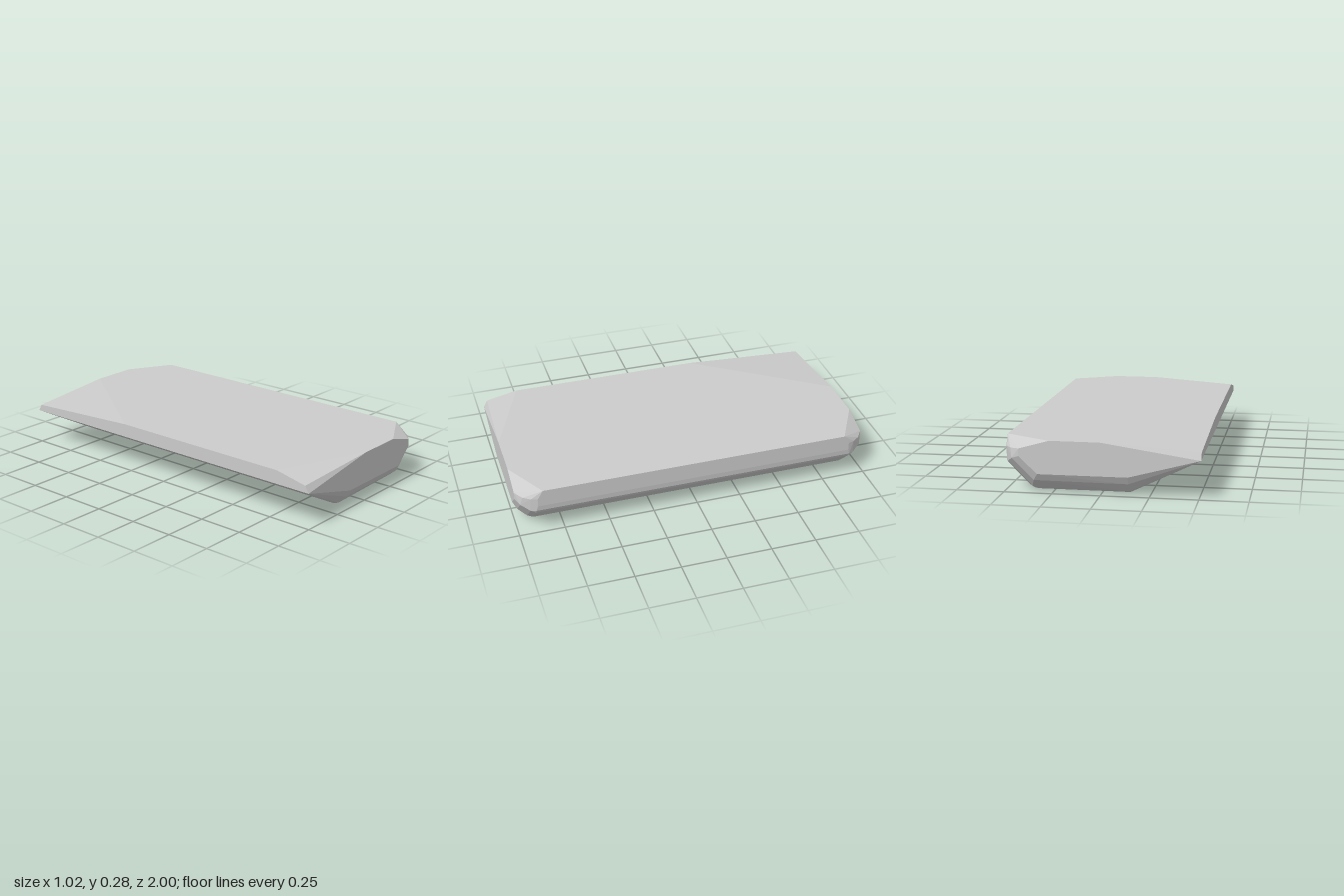
import * as THREE from 'three';
import { ConvexGeometry } from 'three/addons/geometries/ConvexGeometry.js';

const TOP = 0.275;

// Corner points of one end, [x, y, distance from the middle]
const endPoints = [
  // flat end face
  [0, TOP, 1], [0.26, TOP, 1], [0.42, 0.23, 1], [0.42, 0.19, 1],
  [0.325, 0.1, 1], [-0.14, 0.1, 1], [-0.51, 0.2, 1],
  // first bevel ring
  [-0.14, 0.06, 0.978], [0.347, 0.063, 0.978], [0.462, 0.175, 0.978], [0.47, 0.225, 0.965],
  // second bevel ring
  [-0.14, 0.012, 0.93], [0.366, 0.022, 0.93], [0.492, 0.147, 0.93], [0.498, 0.225, 0.925],
  // underside and rounded long side
  [-0.14, 0, 0.9], [0.34, 0, 0.9], [0.362, 0.005, 0.9], [0.385, 0.02, 0.9],
  [0.498, 0.132, 0.9], [0.507, 0.15, 0.9], [0.51, 0.18, 0.89], [0.51, 0.225, 0.89],
  // top rim and the lowered tip of the thin edge
  [0.51, TOP, 0.86], [-0.51, 0.238, 0.978],
];

export function createModel() {
  const group = new THREE.Group();
  group.name = 'bevelledSlab';

  const points = [];
  for (const side of [1, -1]) {
    for (const [x, y, z] of endPoints) points.push(new THREE.Vector3(x, y, z * side));
  }
  // the top folds down from unequal places along the thin edge
  for (const z of [0.8, -0.28]) points.push(new THREE.Vector3(-0.51, TOP, z));

  const slab = new THREE.Mesh(
    new ConvexGeometry(points),
    new THREE.MeshStandardMaterial({ color: 0xcccccc, flatShading: true })
  );
  slab.name = 'slab';
  group.add(slab);
  return group;
}
